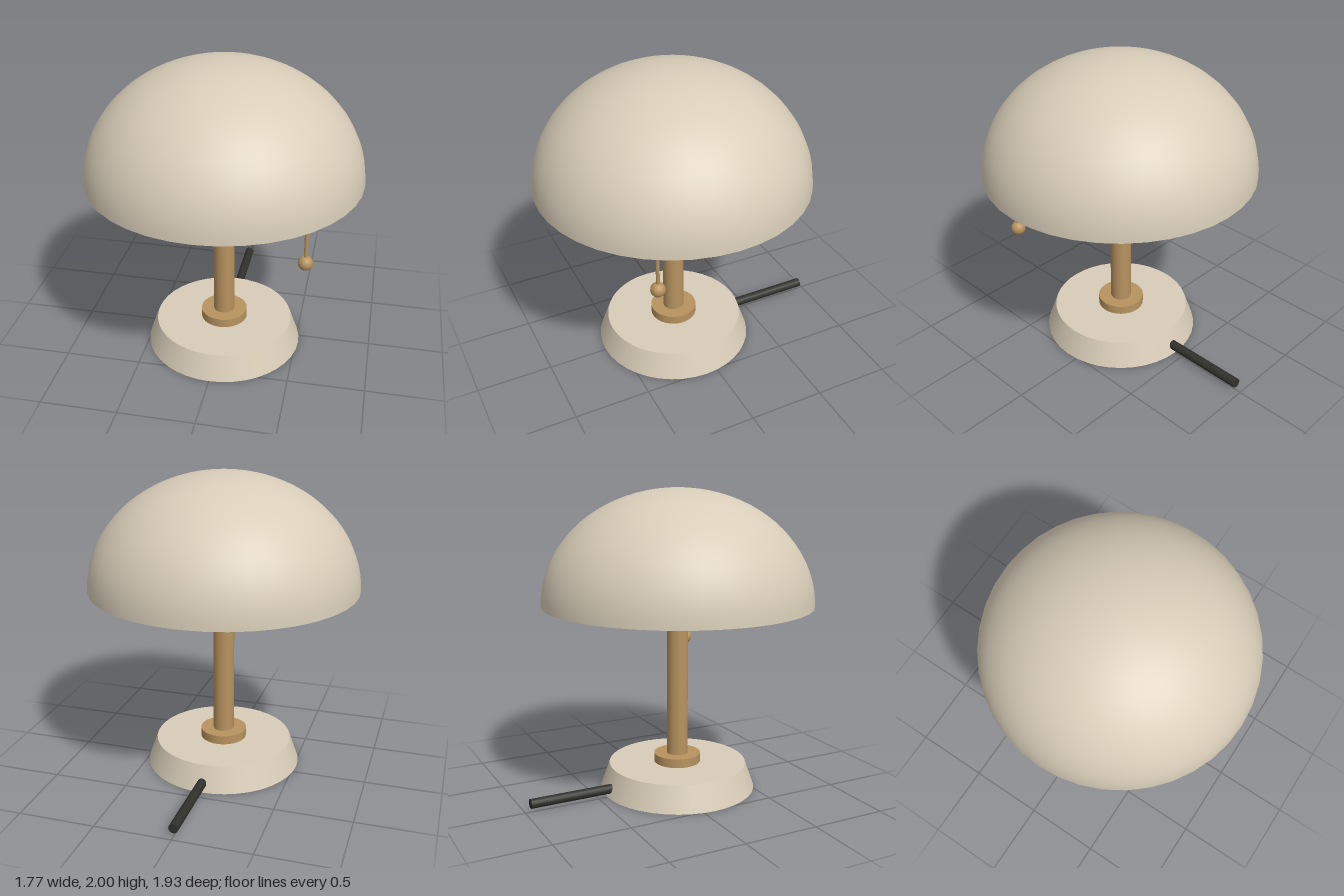
import * as THREE from 'three';
import { toCreasedNormals } from 'three/addons/utils/BufferGeometryUtils.js';

const material = (name, color) => {
  const m = new THREE.MeshStandardMaterial({ color });
  m.name = name;
  return m;
};

export function createModel() {
  const cream = material('cream enamel', 0xd8cdb8);
  const brass = material('brass', 0xb8935f);
  const black = material('black cord', 0x30302c);

  const lamp = new THREE.Group();
  lamp.name = 'tableLamp';

  const add = (name, geometry, mat, x, y, z) => {
    const mesh = new THREE.Mesh(geometry, mat);
    mesh.name = name;
    mesh.position.set(x, y, z);
    lamp.add(mesh);
    return mesh;
  };
  // Upright cylinder given by its bottom and top heights
  const post = (name, mat, rTop, rBottom, y0, y1, x, z, sides) =>
    add(name, new THREE.CylinderGeometry(rTop, rBottom, y1 - y0, sides), mat, x, (y0 + y1) / 2, z);

  const axisZ = 0.08;
  const rimY = 1.25;

  // Foot, collar and stem
  post('base', cream, 0.46, 0.52, 0, 0.17, 0, axisZ, 40);
  post('collar', brass, 0.155, 0.155, 0.17, 0.23, 0, axisZ, 32);
  post('stem', brass, 0.07, 0.07, 0.23, rimY + 0.05, 0, axisZ, 24);

  // Domed shade with a slightly recessed underside and a thin rim
  const profile = [[0, 0.01], [0.865, 0.01], [0.865, 0]].map(([r, y]) => new THREE.Vector2(r, y));
  const rows = 20;
  for (let i = 0; i <= rows; i++) {
    const a = (i / rows) * Math.PI / 2;
    profile.push(new THREE.Vector2(i === rows ? 0 : 0.887 * Math.cos(a), 0.75 * Math.sin(a)));
  }
  add('shade', toCreasedNormals(new THREE.LatheGeometry(profile, 40), 0.5), cream, 0, rimY, axisZ);

  // Pull chain with its ball
  post('pullChain', brass, 0.012, 0.012, 0.9, rimY + 0.04, 0.575, 0.45, 10);
  add('pullBall', new THREE.SphereGeometry(0.047, 20, 14), brass, 0.575, 0.885, 0.45);

  // Power cord leaving the back of the base
  const cordFront = -0.36, cordBack = -0.965;
  const cord = add('powerCord', new THREE.CylinderGeometry(0.031, 0.031, cordFront - cordBack, 16),
    black, 0, 0.055, (cordFront + cordBack) / 2);
  cord.rotation.x = Math.PI / 2;

  return lamp;
}
